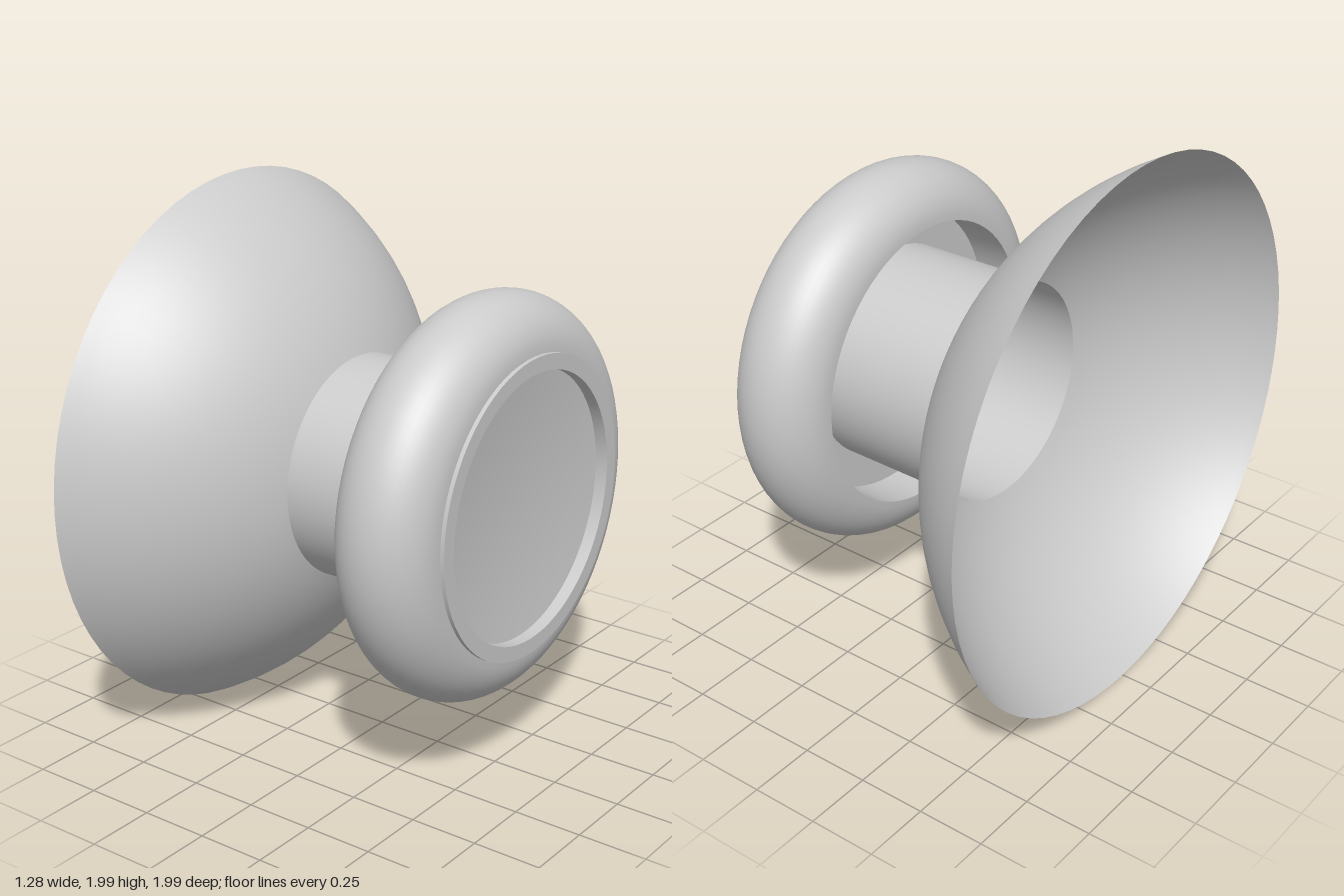
import * as THREE from 'three';
import { toCreasedNormals } from 'three/addons/utils/BufferGeometryUtils.js';

const material = new THREE.MeshStandardMaterial({ color: 0xcccccc, side: THREE.DoubleSide });

// Revolve [radius, x] points around the x axis.
function revolve(points) {
  const profile = points.map(([r, x]) => new THREE.Vector2(r, x));
  return new THREE.LatheGeometry(profile, 72).rotateZ(-Math.PI / 2);
}

function part(name, geometry) {
  const mesh = new THREE.Mesh(geometry, material);
  mesh.name = name;
  return mesh;
}

// Points on an arc, angle measured from the +x axis of the profile.
function arc(centreX, centreR, radius, from, to, steps) {
  return Array.from({ length: steps + 1 }, (_, i) => {
    const a = from + (to - from) * i / steps;
    return [centreR + radius * Math.sin(a), centreX + radius * Math.cos(a)];
  });
}

// Open spherical skirt whose rim is cut at a very slight slant.
function skirtGeometry() {
  const centre = -1.144, radius = 1.12;
  const inner = Math.asin(0.405 / radius), outer = Math.asin(0.995 / radius);
  const geometry = revolve(arc(centre, 0, radius, outer, inner, 20));
  const p = geometry.attributes.position;
  for (let i = 0; i < p.count; i++) {
    const r = Math.hypot(p.getY(i), p.getZ(i));
    const x = p.getX(i) + 0.011 * p.getZ(i) * (r - 0.405) / 0.59;
    const k = Math.sqrt(radius ** 2 - (x - centre) ** 2) / r;
    p.setXYZ(i, x, p.getY(i) * k, p.getZ(i) * k);
  }
  geometry.computeVertexNormals();
  // Share the seam normals so the skirt stays smooth all round.
  return toCreasedNormals(geometry, 0.5);
}

export function createModel() {
  const group = new THREE.Group();
  group.name = 'thumbstick';
  const stick = new THREE.Group();
  stick.name = 'stick';
  stick.position.y = 1;
  group.add(stick);

  stick.add(part('skirt', skirtGeometry()));

  // Hollow, slightly tapered stem
  stick.add(part('stem', revolve([[0.405, -0.1], [0.4, 0.42]])));

  // Cap: hollow underside, rounded grip, raised lip and shallow dish
  const dish = [0.475, 0.4, 0.3, 0.2, 0.1, 0].map(r => [r, 0.56 + 0.03 * (r / 0.475) ** 2]);
  const cap = revolve([
    [0, 0.42], [0.53, 0.42],
    ...arc(0.435, 0.53, 0.185, Math.PI, 0, 24),
    [0.53, 0.635], [0.475, 0.635],
    ...dish,
  ]);
  stick.add(part('cap', toCreasedNormals(cap, 0.5)));

  return group;
}
